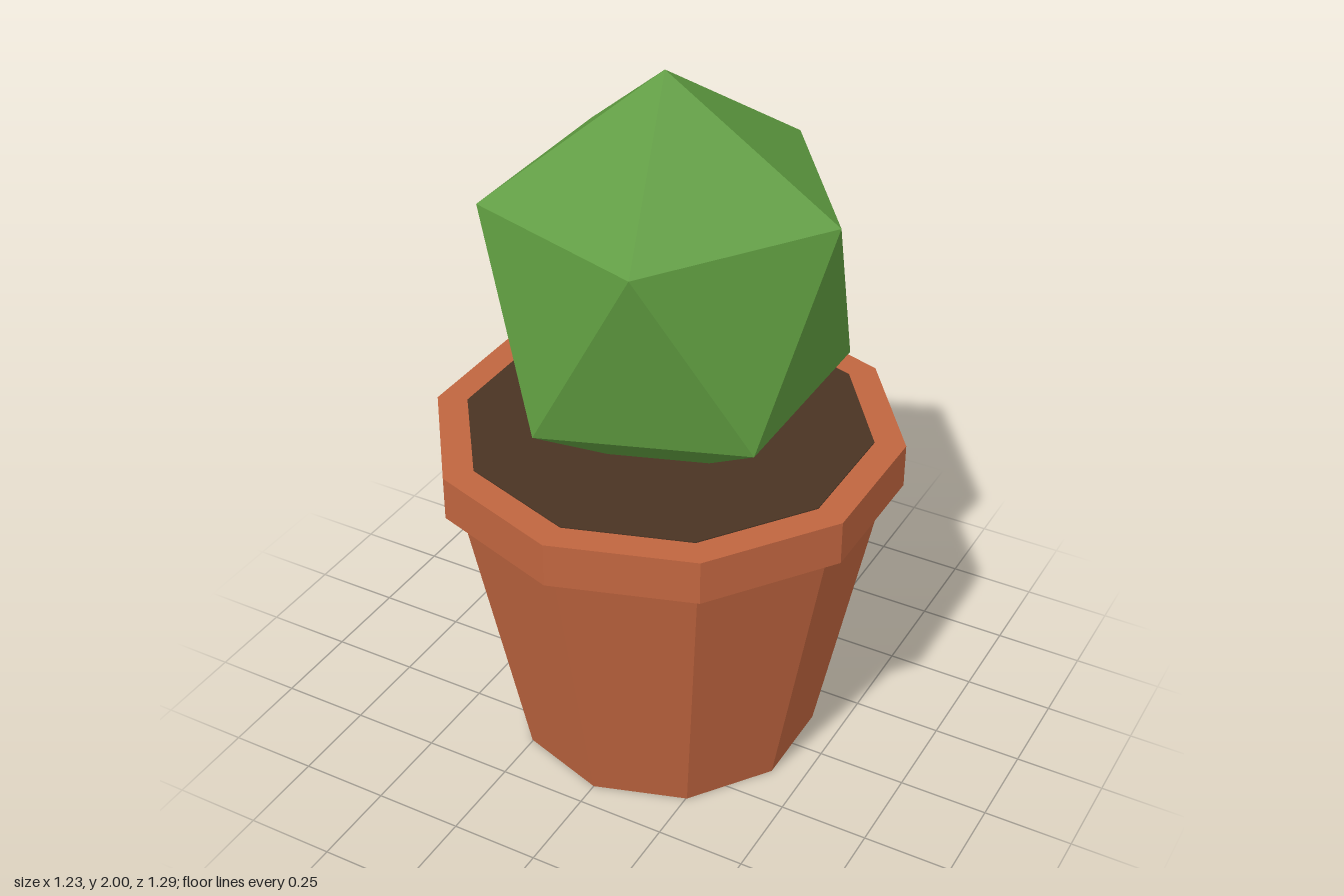
import * as THREE from 'three';

const SIDES = 10;

function addPart(group, name, geometry, color) {
  const material = new THREE.MeshStandardMaterial({ color, flatShading: true });
  const mesh = new THREE.Mesh(geometry, material);
  mesh.name = name;
  group.add(mesh);
  return mesh;
}

// Ten-sided drum between two heights
function drum(bottomRadius, topRadius, y0, y1) {
  return new THREE.CylinderGeometry(topRadius, bottomRadius, y1 - y0, SIDES)
    .translate(0, (y0 + y1) / 2, 0);
}

export function createModel() {
  const model = new THREE.Group();
  model.name = 'pottedCactus';
  const clay = 0xc0653f;

  // Tapered pot with an overhanging rim
  addPart(model, 'pot', drum(0.43, 0.6, 0, 0.85), clay);
  addPart(model, 'rim', drum(0.645, 0.645, 0.85, 0.975), clay);

  // Soil, just proud of the rim
  addPart(model, 'soil', drum(0.56, 0.56, 0.93, 0.978), 0x4a3423);

  // Faceted cactus: an icosahedron stood on a corner, slightly leaning and stretched
  const cactus = new THREE.IcosahedronGeometry(0.54, 0)
    .rotateZ(-0.535)
    .rotateX(0.01)
    .scale(1, 1.09, 1)
    .translate(0.005, 1.412, 0);
  addPart(model, 'cactus', cactus, 0x5f9c40);

  return model;
}
